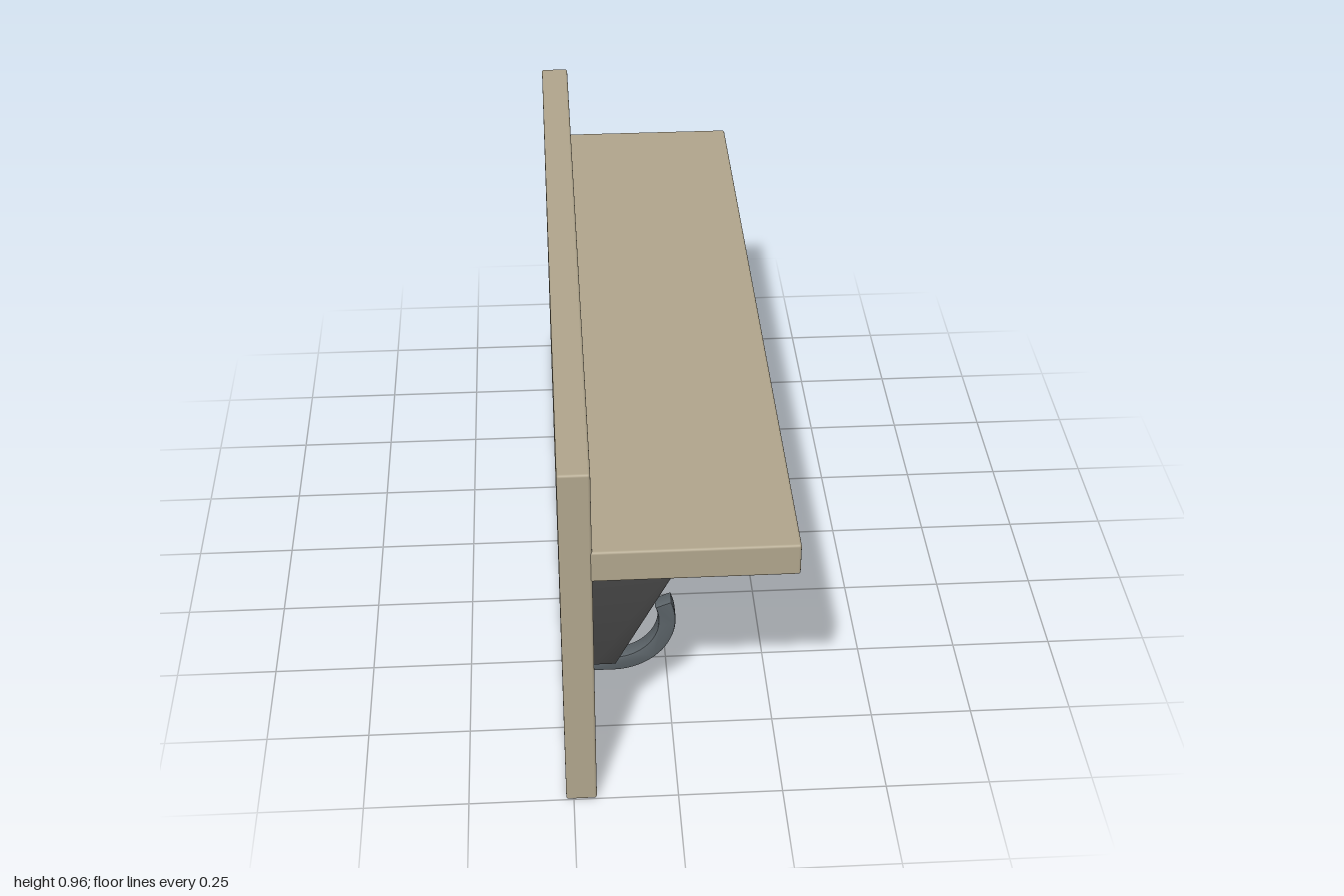
import * as THREE from 'three';
import { RoundedBoxGeometry } from 'three/addons/geometries/RoundedBoxGeometry.js';
import { toCreasedNormals } from 'three/addons/utils/BufferGeometryUtils.js';

const wood = new THREE.MeshStandardMaterial({ color: 0xb0a58c });
const bracketPaint = new THREE.MeshStandardMaterial({ color: 0x444444 });
const hookMetal = new THREE.MeshStandardMaterial({ color: 0x596166 });

// Box with softened edges, given by its x and y limits, running the full length in z
function plank(name, x0, x1, y0, y1) {
  const mesh = new THREE.Mesh(new RoundedBoxGeometry(x1 - x0, y1 - y0, 2, 2, 0.006), wood);
  mesh.position.set((x0 + x1) / 2, (y0 + y1) / 2, 0);
  mesh.name = name;
  return mesh;
}

// Side profile extruded along z, centred, with softened edges that keep its outer size
function slab(shape, width, bevel, curveSegments = 12) {
  const geometry = new THREE.ExtrudeGeometry(shape, {
    depth: width - 2 * bevel, curveSegments,
    bevelThickness: bevel, bevelSize: bevel, bevelOffset: -bevel, bevelSegments: 2,
  });
  geometry.translate(0, 0, bevel - width / 2);
  return toCreasedNormals(geometry, 0.6);
}

export function createModel() {
  const model = new THREE.Group();
  model.name = 'wallShelf';
  const wall = -0.195;

  model.add(plank('backBoard', -0.268, wall, 0, 0.957));
  model.add(plank('shelfBoard', wall - 0.006, 0.268, 0.663, 0.745));

  // Tapered brackets under the shelf
  const bracketShape = new THREE.Shape([
    [wall, 0.283], [-0.14, 0.283], [0.056, 0.665], [wall, 0.665],
  ].map(([x, y]) => new THREE.Vector2(x, y)));
  const bracketGeometry = slab(bracketShape, 0.09, 0.006);
  for (const side of [1, -1]) {
    const bracket = new THREE.Mesh(bracketGeometry, bracketPaint);
    bracket.name = side > 0 ? 'frontBracket' : 'rearBracket';
    bracket.position.z = side * 0.8;
    model.add(bracket);
  }

  // Curved coat hooks: a short straight stem and an upturned arc
  const cx = -0.14, cy = 0.275, outer = 0.153, inner = 0.111, tip = 0.385;
  const hookShape = new THREE.Shape();
  hookShape.moveTo(wall - 0.005, cy - outer);
  hookShape.lineTo(cx, cy - outer);
  hookShape.absarc(cx, cy, outer, -Math.PI / 2, tip, false);
  hookShape.absarc(cx, cy, inner, tip, -Math.PI / 2, true);
  hookShape.lineTo(wall - 0.005, cy - inner);
  hookShape.closePath();
  const hookGeometry = slab(hookShape, 0.042, 0.005, 20);
  for (let i = -2; i <= 2; i++) {
    const hook = new THREE.Mesh(hookGeometry, hookMetal);
    hook.name = `hook${i + 3}`;
    hook.position.z = i * 0.331;
    model.add(hook);
  }
  return model;
}
